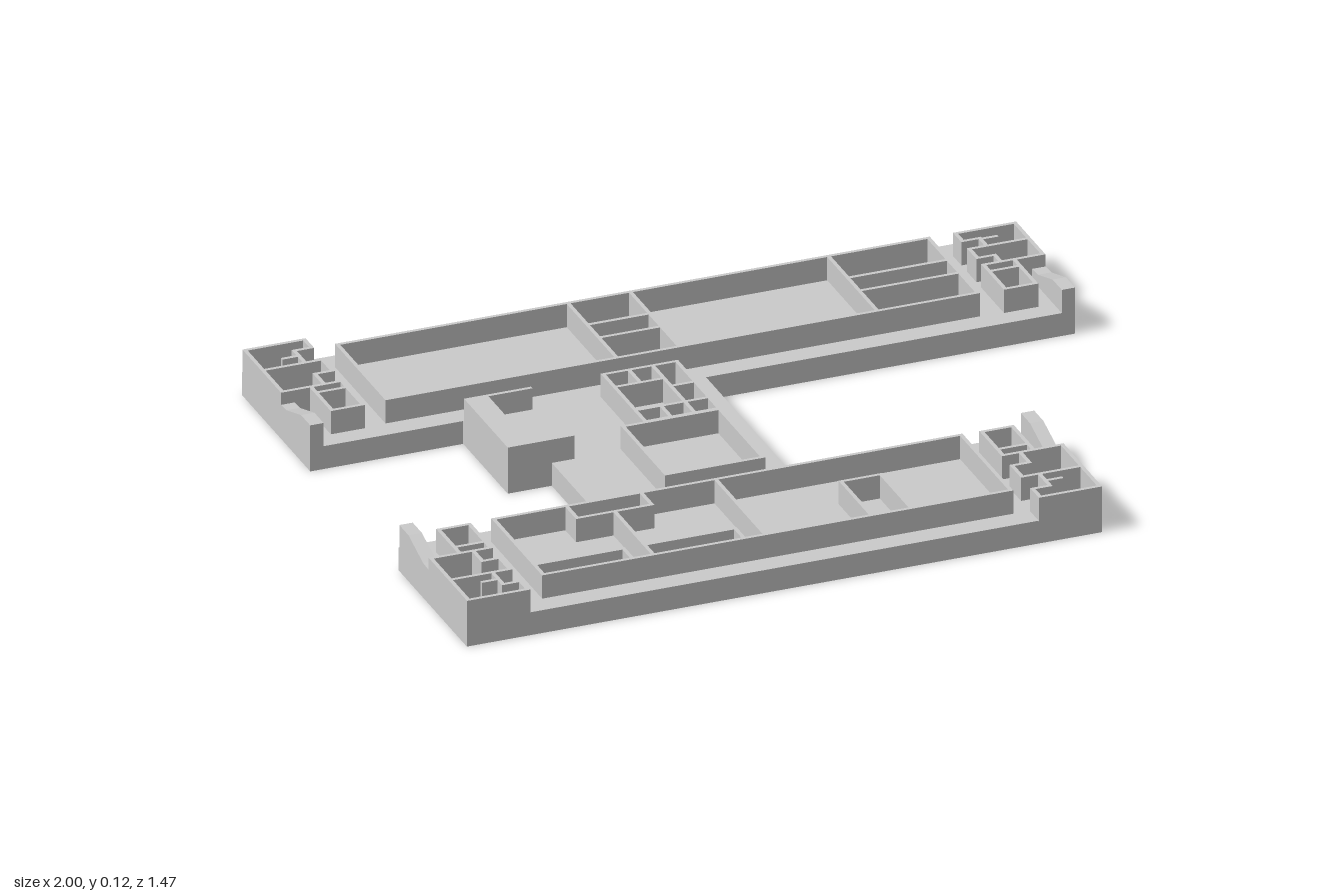
import * as THREE from 'three';

const FLOOR = 0.062, TOP = 0.125, T = 0.01;
const grey = new THREE.MeshStandardMaterial({ color: 0xcccccc, flatShading: true });

function box(parent, name, x0, x1, y0, y1, z0, z1) {
  const m = new THREE.Mesh(new THREE.BoxGeometry(x1 - x0, y1 - y0, z1 - z0), grey);
  m.name = name;
  m.position.set((x0 + x1) / 2, (y0 + y1) / 2, (z0 + z1) / 2);
  parent.add(m);
}

// Thin upright walls along a path of x, z corner pairs
function walls(parent, name, ...p) {
  for (let i = 0; i + 3 < p.length; i += 2) {
    const [xa, za, xb, zb] = p.slice(i, i + 4);
    box(parent, name, Math.min(xa, xb) - T / 2, Math.max(xa, xb) + T / 2, FLOOR - 0.002, TOP,
      Math.min(za, zb) - T / 2, Math.max(za, zb) + T / 2);
  }
}

function room(parent, name, x0, x1, z0, z1) {
  walls(parent, name, x0, z0, x1, z0, x1, z1, x0, z1, x0, z0);
}

function group(parent, name) {
  const g = new THREE.Group();
  g.name = name;
  parent.add(g);
  return g;
}

// Stair block at the end of a wing: u runs inward from the end, v outward from the courtyard
function wingEnd(parent, name, xEnd, zSide, v) {
  const g = group(parent, name);
  const sx = Math.sign(xEnd), h = T / 2;
  const X = u => xEnd - sx * u;
  const Z = d => zSide * (0.29 + d);
  const path = (label, ...uv) => walls(g, label, ...uv.map((n, i) => (i % 2 ? Z(n) : X(n))));
  path('outerWall', h, v[0], h, v[4] - h);
  path('innerSteppedWall', h, v[0], 0.115, v[0], 0.115, v[1], 0.16, v[1], 0.16, v[2], h, v[2]);
  path('endSteppedWall', 0.115, v[2], 0.115, v[3], 0.16, v[3], 0.16, v[4] - h, h, v[4] - h);
  path('smallRoom', 0.08, 0.058, 0.16, 0.058, 0.16, v[0], 0.08, v[0], 0.08, 0.058);
  path('smallRoomDivider', 0.08, 0.16, 0.16, 0.16);
  path('smallPartition', 0.075, v[2] + 0.04, 0.115, v[2] + 0.04);

  // Parapet that drops to a low ledge and slopes back up
  const s = new THREE.Shape();
  [[0, FLOOR - 0.002], [v[0], FLOOR - 0.002], [v[0], 0.092], [0.155, 0.094], [0.06, TOP], [0, TOP]]
    .forEach(([d, y], i) => (i ? s.lineTo(-Z(d), y) : s.moveTo(-Z(d), y)));
  const geo = new THREE.ExtrudeGeometry(s, { depth: 0.035, bevelEnabled: false });
  geo.rotateY(Math.PI / 2);
  const m = new THREE.Mesh(geo, grey);
  m.name = 'slopedParapet';
  m.position.x = sx > 0 ? xEnd - 0.035 : xEnd;
  g.add(m);
}

export function createModel() {
  const root = new THREE.Group();
  root.name = 'buildingFloorPlan';

  // Ground slab in one outline
  const outline = [[-1, -0.735], [1, -0.735], [1, -0.29], [0.035, -0.29], [0.035, 0.285], [0.66, 0.285],
    [0.66, 0.73], [-1, 0.73], [-1, 0.285], [-0.485, 0.285], [-0.485, 0], [-0.6, 0], [-0.6, -0.29], [-1, -0.29]];
  const shape = new THREE.Shape(outline.map(([x, z]) => new THREE.Vector2(x, -z)));
  const slabGeo = new THREE.ExtrudeGeometry(shape, { depth: FLOOR, bevelEnabled: false });
  slabGeo.rotateX(-Math.PI / 2);
  const slab = new THREE.Mesh(slabGeo, grey);
  slab.name = 'slab';
  root.add(slab);

  // Long back wing
  const back = group(root, 'backWing');
  room(back, 'backOuterWall', -0.775, 0.77, -0.672, -0.353);
  for (const x of [-0.173, -0.01, 0.508]) walls(back, 'backCrossWall', x, -0.672, x, -0.353);
  for (const z of [-0.545, -0.47]) {
    walls(back, 'backCorridorWall', -0.173, z, -0.01, z);
    walls(back, 'backCorridorWall', 0.508, z, 0.77, z);
  }

  // Short front wing
  const front = group(root, 'frontWing');
  room(front, 'frontOuterWall', -0.775, 0.447, 0.345, 0.667);
  walls(front, 'frontCrossWall', -0.195, 0.345, -0.195, 0.667);
  walls(front, 'entryRoomWall', -0.585, 0.345, -0.585, 0.415, -0.39, 0.415, -0.39, 0.345);
  walls(front, 'roomDivider', -0.487, 0.415, -0.487, 0.667);
  walls(front, 'closetWall', -0.775, 0.61, -0.542, 0.61, -0.542, 0.667);
  walls(front, 'closetWall', -0.487, 0.61, -0.25, 0.61, -0.25, 0.667);
  walls(front, 'alcoveWall', 0.083, 0.667, 0.083, 0.47, 0.187, 0.47, 0.187, 0.667);

  // Link between the wings
  const link = group(root, 'link');
  room(link, 'linkServiceWall', -0.237, -0.045, -0.282, -0.008);
  walls(link, 'linkPartition', -0.237, -0.208, -0.108, -0.208);
  walls(link, 'linkPartition', -0.17, -0.282, -0.17, -0.208);
  walls(link, 'linkPartition', -0.108, -0.282, -0.108, -0.008);
  walls(link, 'linkPartition', -0.108, -0.163, -0.045, -0.163);
  walls(link, 'linkPartition', -0.237, -0.072, -0.045, -0.072);
  walls(link, 'linkPartition', -0.17, -0.072, -0.17, -0.008);
  room(link, 'linkHallWall', -0.297, -0.045, -0.003, 0.277);

  // Side entrance block with a sunken platform
  const porch = group(root, 'sideEntrance');
  box(porch, 'entranceSideWall', -0.6, -0.54, FLOOR - 0.002, TOP, -0.285, 0);
  box(porch, 'entranceFrontWall', -0.54, -0.425, FLOOR - 0.002, TOP, -0.065, 0);
  box(porch, 'entranceBackWall', -0.54, -0.425, FLOOR - 0.002, TOP, -0.285, -0.275);
  box(porch, 'entrancePlatform', -0.54, -0.425, FLOOR - 0.002, 0.1, -0.215, -0.065);

  // Stair blocks at the four wing ends
  const regular = [0.195, 0.255, 0.32, 0.39, 0.442];
  wingEnd(root, 'backRightEnd', -1, -1, regular);
  wingEnd(root, 'backLeftEnd', 1, -1, [0.198, 0.237, 0.29, 0.335, 0.385]);
  wingEnd(root, 'frontRightEnd', -1, 1, regular);
  wingEnd(root, 'frontLeftEnd', 0.66, 1, regular);
  return root;
}
